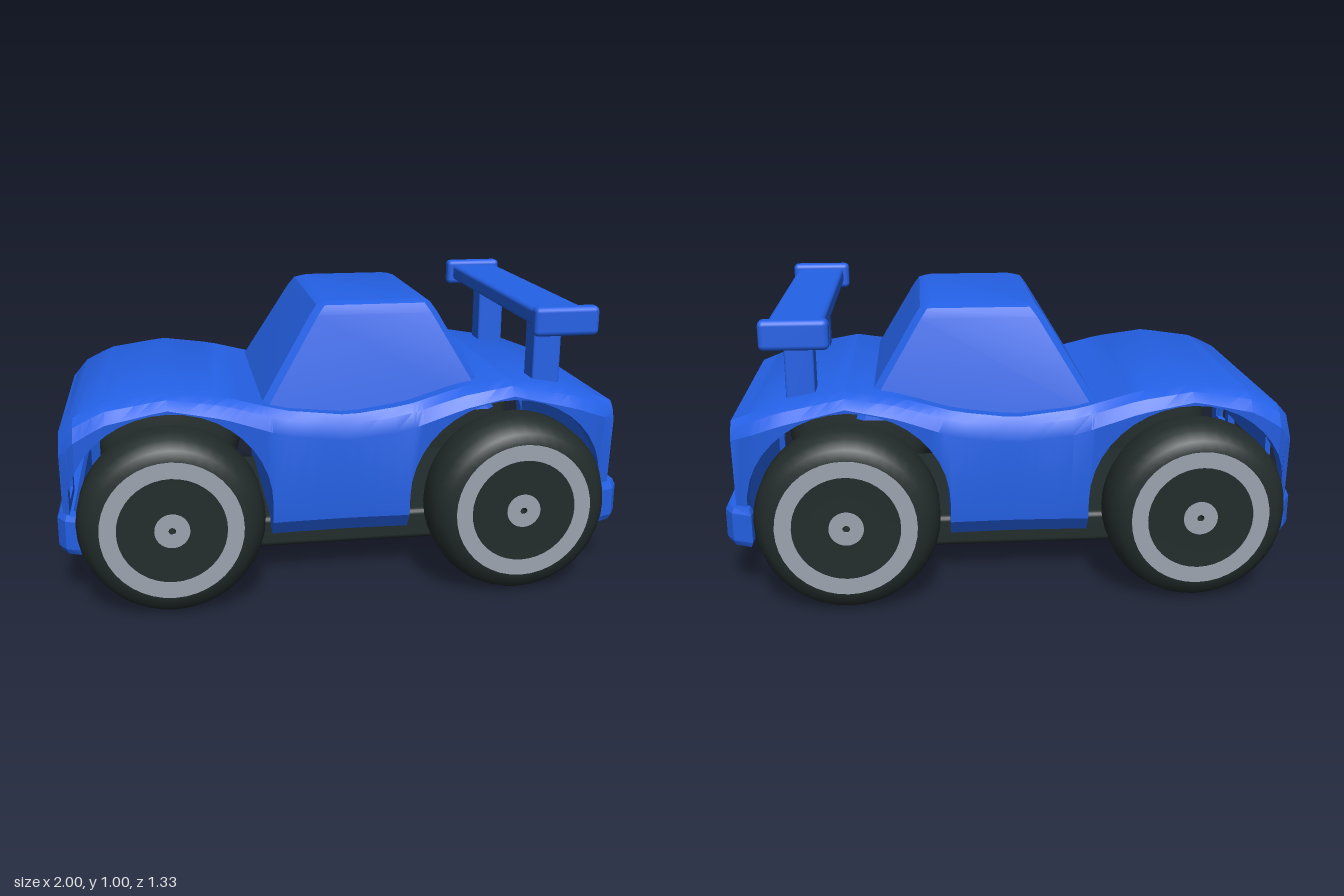
import * as THREE from 'three';
import { toCreasedNormals } from 'three/addons/utils/BufferGeometryUtils.js';
import { RoundedBoxGeometry } from 'three/addons/geometries/RoundedBoxGeometry.js';

const paint = new THREE.MeshStandardMaterial({ color: 0x2563eb });
paint.name = 'blue paint';
const rubber = new THREE.MeshStandardMaterial({ color: 0x222b2b });
rubber.name = 'black rubber';
const metal = new THREE.MeshStandardMaterial({ color: 0x9ca3af });
metal.name = 'grey metal';

const WHEEL_X = [-0.615, 0.57], AXLE_Y = 0.312, ARCH_R = 0.35;

function mesh(name, geometry, material, parent) {
  const m = new THREE.Mesh(geometry, material);
  m.name = name;
  parent.add(m);
  return m;
}

function box(name, size, pos, radius, material, parent) {
  const m = mesh(name, new RoundedBoxGeometry(...size, 2, radius), material, parent);
  m.position.set(...pos);
  return m;
}

// Skin a list of equal-length rings and cap the last one
function loft(rings) {
  const n = rings[0].length, index = [];
  for (let i = 0; i < rings.length - 1; i++) {
    for (let j = 0; j < n; j++) {
      const a = i * n + j, b = i * n + (j + 1) % n, c = b + n, d = a + n;
      index.push(a, d, c, a, c, b);
    }
  }
  const e = (rings.length - 1) * n;
  for (let k = 1; k < n - 1; k++) index.push(e, e + k + 1, e + k);
  const g = new THREE.BufferGeometry();
  g.setAttribute('position', new THREE.Float32BufferAttribute(rings.flat(2), 3));
  g.setIndex(index);
  return toCreasedNormals(g, 0.45);
}

// x, top height, half width, shoulder drop, shoulder inset
const PROFILE = [
  [-0.98, 0.585, 0.45, 0.07, 0.06], [-0.93, 0.64, 0.5, 0.07, 0.07], [-0.83, 0.69, 0.51, 0.06, 0.08],
  [-0.62, 0.72, 0.515, 0.045, 0.08], [-0.43, 0.695, 0.505, 0.06, 0.07], [-0.22, 0.64, 0.485, 0.08, 0.04],
  [0, 0.617, 0.477, 0.085, 0.025], [0.2, 0.64, 0.485, 0.08, 0.04], [0.4, 0.695, 0.505, 0.06, 0.07],
  [0.57, 0.72, 0.515, 0.045, 0.08], [0.8, 0.68, 0.515, 0.06, 0.08], [0.88, 0.65, 0.5, 0.06, 0.07],
  [0.96, 0.62, 0.46, 0.06, 0.04],
];

function profileAt(x) {
  let i = 0;
  while (i < PROFILE.length - 2 && x > PROFILE[i + 1][0]) i++;
  const p = PROFILE[i], q = PROFILE[i + 1], t = (x - p[0]) / (q[0] - p[0]);
  return p.map((v, k) => v + (q[k] - v) * t);
}

// One body section: hollow over the wheels, solid elsewhere
function bodyRing(x, bottom, hollow) {
  const [, top, w, drop, inset] = profileAt(x);
  const shoulder = top - drop;
  const side = (y) => w - 0.03 * (shoulder - y) / 0.4;
  const mid = Math.max(bottom, 0.24);
  const foot = side(mid) - (mid - bottom) * 0.7;
  const half = [
    [foot - 0.06, hollow ? Math.max(bottom, top - 0.045) : bottom],
    [foot - 0.06, bottom],
    [foot, bottom],
    [side(mid), mid],
    [w, shoulder],
    [w - inset * 0.4, top - drop * 0.35],
    [w - inset, top],
  ];
  return [
    ...half.map(([z, y]) => [x, y, z]),
    ...half.slice().reverse().map(([z, y]) => [x, y, -z]),
  ];
}

function bodyGeometry() {
  const rings = [];
  const arch = (cx, start) => {
    for (let i = start; i <= 20; i++) {
      const a = Math.PI * (1 - i / 20);
      rings.push(bodyRing(cx + ARCH_R * Math.cos(a), AXLE_Y + ARCH_R * Math.sin(a), true));
    }
  };
  arch(WHEEL_X[0], 0);
  for (let i = 0; i <= 8; i++) {
    const x0 = WHEEL_X[0] + ARCH_R, x1 = WHEEL_X[1] - ARCH_R;
    rings.push(bodyRing(x0 + (x1 - x0) * i / 8, 0.185, false));
  }
  arch(WHEEL_X[1], 0);
  rings.push(bodyRing(0.92, 0.22, false), bodyRing(0.96, 0.22, false));
  return loft(rings);
}

// Cabin levels: y, front x, back x, front half width, back half width, corner cut
function cabinGeometry() {
  const levels = [
    [0.6, -0.325, 0.54, 0.42, 0.395, 0.025], [0.945, -0.115, 0.335, 0.348, 0.348, 0.025],
    [0.978, -0.09, 0.312, 0.335, 0.335, 0.025], [0.988, -0.06, 0.285, 0.31, 0.31, 0.02],
  ];
  return loft(levels.map(([y, x0, x1, z0, z1, c]) => [
    [x1, y, z1 - c], [x1 - c, y, z1], [x0 + c, y, z0], [x0, y, z0 - c],
    [x0, y, c - z0], [x0 + c, y, -z0], [x1 - c, y, -z1], [x1, y, c - z1],
  ]));
}

function polygon(points, Type = THREE.Shape) {
  return new Type(points.map(([x, y]) => new THREE.Vector2(x, y)));
}

// Nose panel with grille and headlight openings
function noseGeometry() {
  const s = polygon([[-0.43, 0.18], [0.43, 0.18], [0.45, 0.515], [0.39, 0.585], [-0.39, 0.585], [-0.45, 0.515]]);
  const hole = (a, b, c, d) => s.holes.push(polygon([[a, c], [a, d], [b, d], [b, c]], THREE.Path));
  hole(-0.21, 0.21, 0.31, 0.4);
  hole(0.25, 0.38, 0.34, 0.5);
  hole(-0.38, -0.25, 0.34, 0.5);
  const g = new THREE.ExtrudeGeometry(s, { depth: 0.025, bevelEnabled: false });
  g.rotateY(Math.PI / 2).translate(-0.98, 0, 0);
  // Flare the rear edge out to meet the body
  const p = g.attributes.position;
  for (let i = 0; i < p.count; i++) {
    if (p.getX(i) < -0.97) continue;
    p.setZ(i, p.getZ(i) * 1.055);
    if (p.getY(i) > 0.505) p.setY(i, p.getY(i) + 0.027);
  }
  g.computeVertexNormals();
  return g;
}

// Wrap-around bumper, drawn in plan for the +x end
function bumperGeometry() {
  const half = [[0.99, 0.42], [0.965, 0.46], [0.91, 0.485], [0.91, 0.455], [0.945, 0.42]];
  const s = polygon([...half, ...half.slice().reverse().map(([x, z]) => [x, -z])]);
  const g = new THREE.ExtrudeGeometry(s, {
    depth: 0.1, bevelThickness: 0.02, bevelSize: 0.01, bevelSegments: 1,
  });
  return g.rotateX(-Math.PI / 2);
}

function lathe(points) {
  const g = new THREE.LatheGeometry(points.map(([r, z]) => new THREE.Vector2(r, z)), 40);
  return toCreasedNormals(g.rotateX(Math.PI / 2), 0.6);
}

// Wheel facing +z, with a fine bore through the hub
function makeWheel() {
  const wheel = new THREE.Group();
  wheel.name = 'wheel';
  const R = AXLE_Y;
  mesh('tyre', lathe([
    [0.012, 0.12], [0.012, -0.12], [0.23, -0.122], [0.27, -0.11], [0.298, -0.08], [R, -0.04],
    [R, 0.04], [0.298, 0.08], [0.27, 0.11], [0.235, 0.122], [0.18, 0.12], [0.012, 0.12],
  ]), rubber, wheel);
  const ring = (name, inner, outer) => {
    mesh(name, lathe([[inner, 0.118], [outer, 0.118], [outer, 0.124], [inner, 0.124], [inner, 0.118]]), metal, wheel);
  };
  ring('rimRing', 0.18, 0.235);
  ring('hubCap', 0.012, 0.058);
  return wheel;
}

export function createModel() {
  const car = new THREE.Group();
  car.name = 'sportsCar';

  mesh('body', bodyGeometry(), paint, car);
  mesh('nosePanel', noseGeometry(), paint, car);
  mesh('cabin', cabinGeometry(), paint, car);
  box('chassis', [1.68, 0.115, 0.72], [-0.02, 0.1625, 0], 0.02, rubber, car);

  // Bumpers
  mesh('rearBumper', bumperGeometry(), paint, car).position.y = 0.2;
  const front = mesh('frontBumper', bumperGeometry(), paint, car);
  front.rotation.y = Math.PI;
  front.position.y = 0.19;

  // Rear wing
  const wing = new THREE.Group();
  wing.name = 'rearWing';
  car.add(wing);
  box('wingBlade', [0.185, 0.062, 1.1], [0.72, 0.945, 0], 0.015, paint, wing);
  for (const s of [1, -1]) {
    box('wingEndPlate', [0.225, 0.1, 0.055], [0.717, 0.945, s * 0.56], 0.018, paint, wing);
    box('wingPost', [0.1, 0.31, 0.095], [0.725, 0.77, s * 0.338], 0.008, paint, wing);
  }

  // Wheels
  for (const x of WHEEL_X) {
    for (const s of [1, -1]) {
      const wheel = makeWheel();
      wheel.position.set(x, AXLE_Y, s * 0.542);
      if (s < 0) wheel.rotation.y = Math.PI;
      car.add(wheel);
    }
  }
  return car;
}
